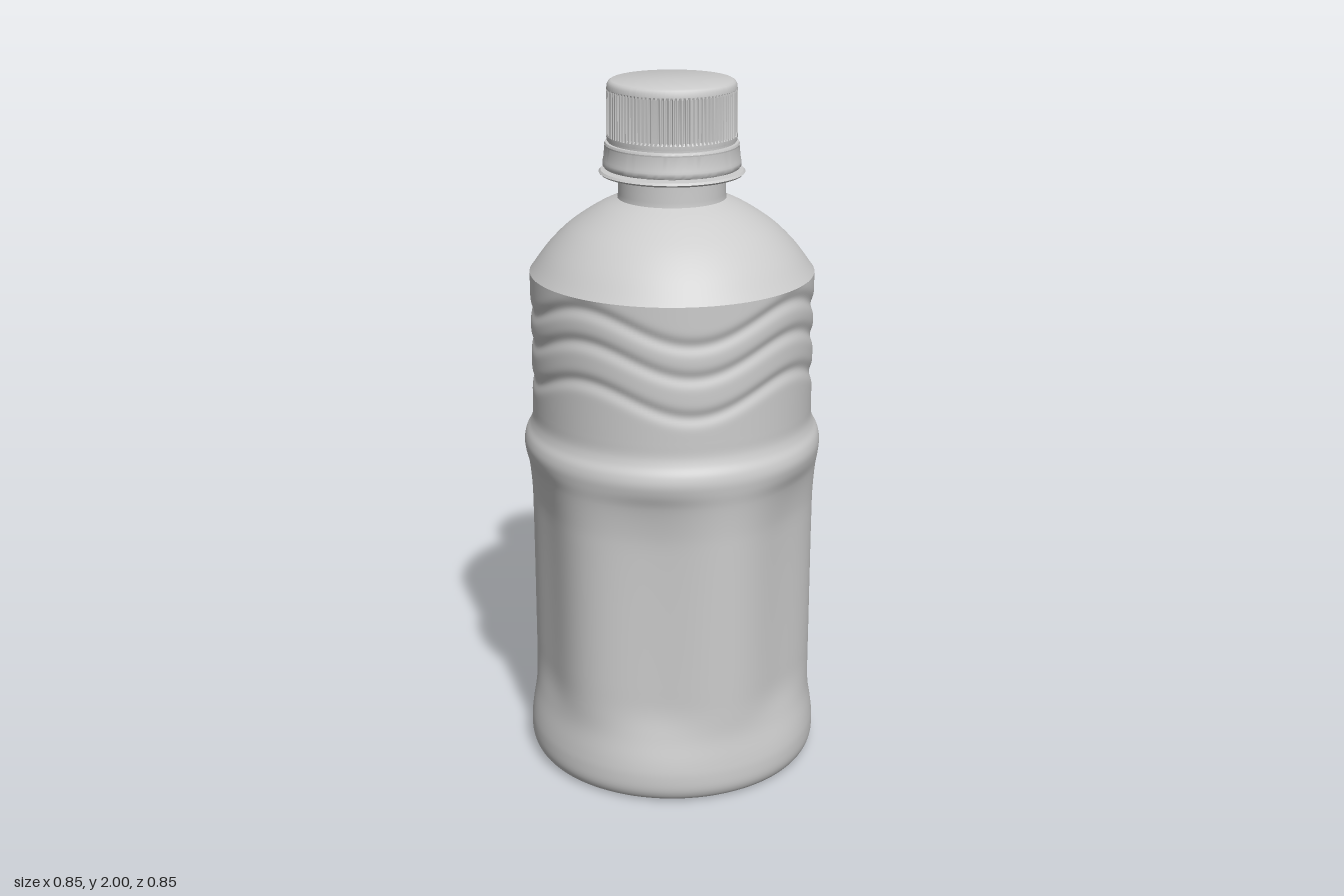
import * as THREE from 'three';
import { toCreasedNormals } from 'three/addons/utils/BufferGeometryUtils.js';

const plastic = new THREE.MeshStandardMaterial({ color: 0xcccccc });
plastic.name = 'pale grey plastic';

// Closed skin around the y axis; each row is [radius, y] or a function of the angle giving one.
// Angle 0 faces the front (+z) and turns towards +x.
function skin(rows, segments, crease) {
  const pos = [], index = [];
  rows.forEach((row) => {
    for (let j = 0; j < segments; j++) {
      const a = (j / segments) * Math.PI * 2;
      const [r, y] = typeof row === 'function' ? row(a) : row;
      pos.push(r * Math.sin(a), y, r * Math.cos(a));
    }
  });
  for (let i = 0; i < rows.length - 1; i++) {
    for (let j = 0; j < segments; j++) {
      const k = (j + 1) % segments;
      const a = i * segments + j, b = i * segments + k, c = a + segments, d = b + segments;
      index.push(a, b, d, a, d, c);
    }
  }
  const geo = new THREE.BufferGeometry();
  geo.setAttribute('position', new THREE.Float32BufferAttribute(pos, 3));
  geo.setIndex(index);
  geo.computeVertexNormals();
  return crease ? toCreasedNormals(geo, crease) : geo;
}

// Recessed foot: a dome cut by eight straight ribs that widen outwards
function baseRows() {
  const rows = [], R = 0.325, H = 0.15;
  for (let i = 0; i <= 20; i++) {
    const t = Math.max(i / 20, 0.002);
    rows.push((a) => {
      const rib = THREE.MathUtils.smoothstep(Math.cos(8 * a), -0.35, 0.5);
      const hollow = H * (1 - Math.pow(t, 3.5));
      const ridge = H * (t < 0.15 ? 1 : (1 - t) / 0.85);
      return [R * t, THREE.MathUtils.lerp(hollow, ridge, rib)];
    });
  }
  return rows;
}

// Grip: x = radius at the six rounded corners, z = radius at the flats between them
function gripRows() {
  const curve = new THREE.CatmullRomCurve3([
    [0.385, 0, 0.385], [0.41, 0.008, 0.41], [0.424, 0.035, 0.424], [0.426, 0.08, 0.426],
    [0.422, 0.12, 0.42], [0.412, 0.19, 0.402], [0.41, 0.26, 0.388], [0.41, 0.35, 0.385],
    [0.41, 0.75, 0.385], [0.411, 0.82, 0.39], [0.417, 0.9, 0.405], [0.424, 0.945, 0.421],
    [0.426, 0.975, 0.426], [0.421, 1.0, 0.421], [0.408, 1.025, 0.408], [0.401, 1.05, 0.401],
    [0.4, 1.09, 0.4],
  ].map((p) => new THREE.Vector3(...p)));
  return curve.getPoints(80).map((p) => (a) =>
    [THREE.MathUtils.lerp(p.z, p.x, (1 - Math.cos(6 * a)) / 2), p.y]);
}

// Upper wall with three wavy grooves, four waves around
function waveRows() {
  const rows = [];
  for (let i = 0; i <= 56; i++) {
    const y = 1.09 + (0.38 * i) / 56;
    rows.push((a) => {
      let r = 0.4;
      for (const level of [1.4, 1.31, 1.2]) {
        const d = (y - level - 0.04 * Math.cos(4 * a)) / 0.02;
        r -= 0.009 * Math.exp(-d * d);
      }
      return [i === 56 ? 0.4 : r, y];
    });
  }
  return rows;
}

// Domed shoulder running up into the neck
function shoulderRows() {
  const dome = new THREE.CatmullRomCurve3([
    [0.4, 1.47], [0.352, 1.535], [0.3, 1.588], [0.25, 1.625], [0.2, 1.655], [0.152, 1.677],
  ].map(([r, y]) => new THREE.Vector3(r, y, 0)));
  return dome.getPoints(24).map((p) => [p.x, p.y]);
}

// Screw cap with a knurled wall
function capRows() {
  const knurl = (r, y) => (a) => [r - 0.005 * (Math.cos(96 * a) < -0.2 ? 1 : 0), y];
  return [
    [0.15, 1.838], [0.18, 1.838], [0.181, 1.85], knurl(0.181, 1.856), knurl(0.18, 1.972),
    [0.179, 1.978], [0.178, 1.988], [0.174, 1.996], [0.167, 2], [0.0005, 2],
  ];
}

export function createModel() {
  const bottle = new THREE.Group();
  bottle.name = 'bottle';
  const add = (name, geometry) => {
    const mesh = new THREE.Mesh(geometry, plastic);
    mesh.name = name;
    bottle.add(mesh);
  };

  add('recessedBase', skin(baseRows(), 192, 0.6));
  add('footRing', skin([[0.325, 0], [0.385, 0]], 192));
  add('body', skin([...gripRows(), ...waveRows().slice(1)], 192));
  add('shoulder', skin(shoulderRows(), 128));
  add('neck', skin([[0.152, 1.675], [0.15, 1.69], [0.15, 1.76]], 96));
  add('supportRing', skin([
    [0.148, 1.742], [0.198, 1.744], [0.203, 1.749], [0.198, 1.755], [0.148, 1.758],
  ], 128, 0.6));
  add('tamperBand', skin([
    [0.15, 1.762], [0.188, 1.762], [0.192, 1.768], [0.192, 1.778], [0.19, 1.784],
    [0.186, 1.822], [0.187, 1.826], [0.184, 1.832], [0.15, 1.833],
  ], 128, 0.6));
  add('capCore', skin([[0.176, 1.825], [0.176, 1.845]], 96));
  add('cap', skin(capRows(), 576, 0.6));
  return bottle;
}
